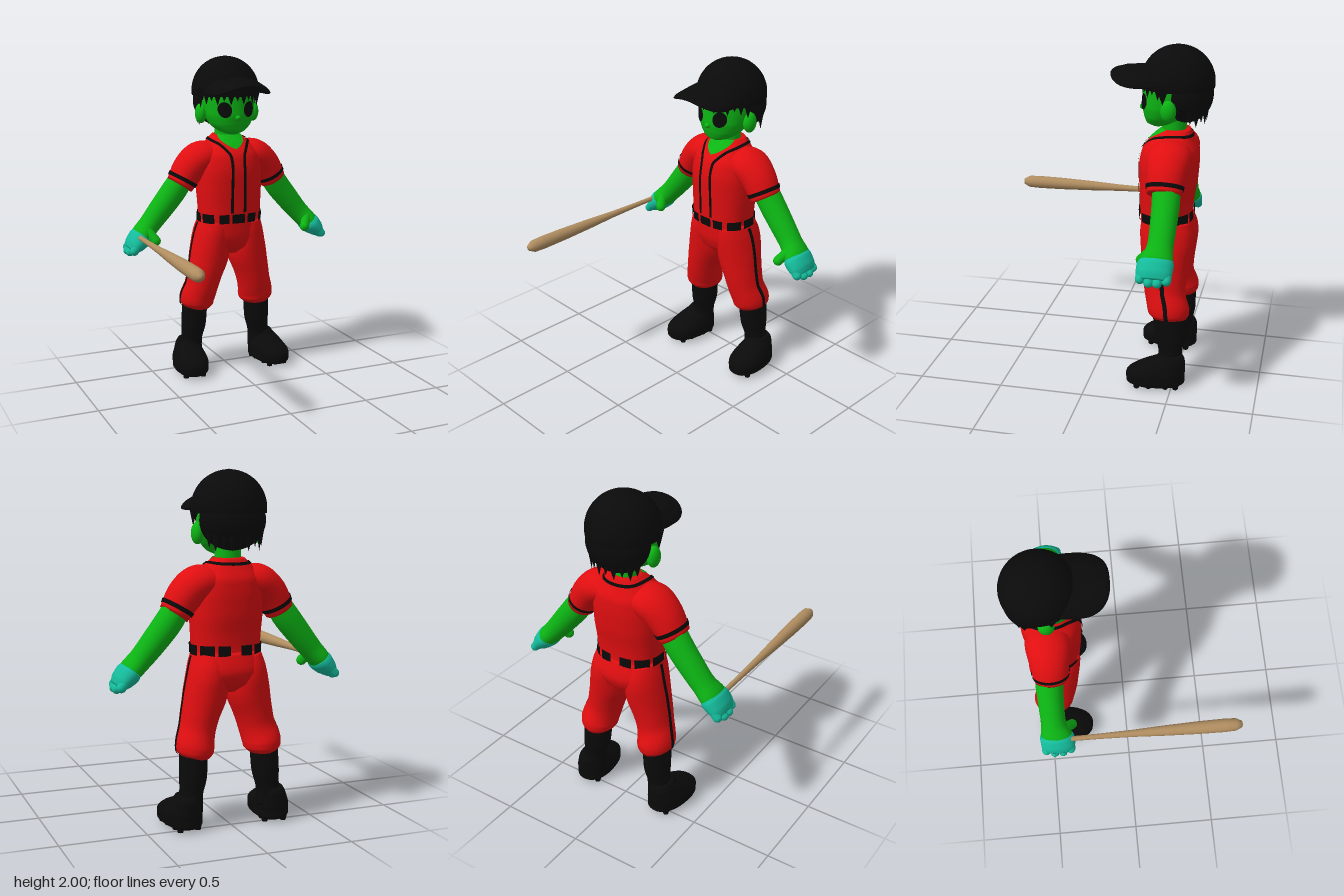
import * as THREE from 'three';

const V3 = (x, y, z) => new THREE.Vector3(x, y, z);
const deg = Math.PI / 180;

// Surface f(u, v): u is the angle round the section, v the section index.
// Section: [x, y, z, half width, half depth]; n is the squareness.
function surface(sections, n = 2) {
  const last = sections.length - 1;
  const path = new THREE.CatmullRomCurve3(sections.map(s => V3(s[0], s[1], s[2])));
  const size = new THREE.CatmullRomCurve3(sections.map(s => V3(s[3], s[4], 0)));
  const pow = c => Math.sign(c) * Math.abs(c) ** (2 / n);
  const f = (u, v) => {
    const t = THREE.MathUtils.clamp(v / last, 0, 1);
    const p = path.getPoint(t), r = size.getPoint(t), d = path.getTangent(t);
    const l = Math.hypot(d.x, d.y) || 1, a = pow(Math.cos(u)) * r.x;
    return V3(p.x + a * d.y / l, p.y - a * d.x / l, p.z + pow(Math.sin(u)) * r.y);
  };
  f.last = last;
  f.path = path;
  return f;
}

function normalAt(f, u, v) {
  const e = 0.02;
  const du = f(u + e, v).sub(f(u - e, v)), dv = f(u, v + e).sub(f(u, v - e));
  return dv.cross(du).normalize();
}

function build(points, index) {
  const g = new THREE.BufferGeometry().setFromPoints(points);
  g.setIndex(index);
  g.computeVertexNormals();
  return g;
}

// Closed skin with end caps
function loft(f, nu = 32, per = 5) {
  const rows = f.last * per, pts = [], idx = [];
  for (let i = 0; i <= rows; i++)
    for (let j = 0; j < nu; j++) pts.push(f(j / nu * Math.PI * 2, i / per));
  const c0 = pts.push(f.path.getPoint(0)) - 1, c1 = pts.push(f.path.getPoint(1)) - 1;
  for (let j = 0; j < nu; j++) {
    const k = (j + 1) % nu, top = rows * nu;
    for (let i = 0; i < rows; i++) {
      const a = i * nu + j, b = i * nu + k;
      idx.push(a, a + nu, b, b, a + nu, b + nu);
    }
    idx.push(c0, j, k, c1, top + k, top + j);
  }
  return build(pts, idx);
}

// Thin band following a (degrees, v) path on a surface
function ribbon(f, uv, width, off = 0.005, steps = 40) {
  const curve = new THREE.SplineCurve(uv.map(p => new THREE.Vector2(p[0] * deg, p[1])));
  const at = t => { const q = curve.getPoint(t); return f(q.x, q.y); };
  const pts = [], idx = [];
  for (let i = 0; i <= steps; i++) {
    const t = i / steps, q = curve.getPoint(t), n = normalAt(f, q.x, q.y);
    const dir = at(Math.min(1, t + 0.01)).sub(at(Math.max(0, t - 0.01)));
    const side = n.clone().cross(dir).normalize().multiplyScalar(width / 2);
    const p = f(q.x, q.y).addScaledVector(n, off);
    pts.push(p.clone().sub(side), p.clone().add(side));
    if (i < steps) idx.push(2 * i, 2 * i + 2, 2 * i + 1, 2 * i + 1, 2 * i + 2, 2 * i + 3);
  }
  return build(pts, idx);
}

// Lay a flat shape on a surface; map gives [u, v] for each x, y
function decal(f, geo, map, off = 0.004) {
  const p = geo.attributes.position;
  for (let i = 0; i < p.count; i++) {
    const [u, v] = map(p.getX(i), p.getY(i));
    const q = f(u, v).addScaledVector(normalAt(f, u, v), off);
    p.setXYZ(i, q.x, q.y, q.z);
  }
  geo.computeVertexNormals();
  return geo;
}

function capsule(a, b, r) {
  const d = b.clone().sub(a), g = new THREE.CapsuleGeometry(r, d.length(), 6, 12);
  g.applyQuaternion(new THREE.Quaternion().setFromUnitVectors(V3(0, 1, 0), d.normalize()));
  const m = a.clone().add(b).multiplyScalar(0.5);
  return g.translate(m.x, m.y, m.z);
}

const ball = (x, y, z, rx, ry, rz) =>
  new THREE.SphereGeometry(1, 32, 20).scale(rx, ry, rz).translate(x, y, z);

function mirrored(geo) {
  const g = geo.clone().scale(-1, 1, 1), ix = g.index.array;
  for (let i = 0; i < ix.length; i += 3) [ix[i], ix[i + 1]] = [ix[i + 1], ix[i]];
  g.computeVertexNormals();
  return g;
}

export function createModel() {
  const root = new THREE.Group();
  const mat = (name, color, side = THREE.FrontSide) => {
    const m = new THREE.MeshStandardMaterial({ color, side });
    m.name = name;
    return m;
  };
  const red = mat('red cloth', 0xe00e10), skin = mat('green skin', 0x0cb414, THREE.DoubleSide);
  const black = mat('black', 0x0a0a0a, THREE.DoubleSide);
  const teal = mat('teal glove', 0x14bc9c), wood = mat('wood', 0xb08d60);
  const add = (name, geo, material) => {
    const m = new THREE.Mesh(geo, material);
    m.name = name;
    root.add(m);
  };
  const pair = (name, geo, material) => {
    add(name + 'Left', geo, material);
    add(name + 'Right', mirrored(geo), material);
  };

  // Jersey
  const torso = surface([
    [0, 0.96, -0.415, 0.2, 0.155], [0, 1.0, -0.405, 0.195, 0.152], [0, 1.1, -0.405, 0.2, 0.157],
    [0, 1.2, -0.41, 0.205, 0.168], [0, 1.3, -0.412, 0.205, 0.173], [0, 1.4, -0.42, 0.19, 0.163],
    [0, 1.47, -0.432, 0.14, 0.118], [0, 1.52, -0.45, 0.085, 0.08]], 2.4);
  add('jersey', loft(torso, 48), red);
  pair('jerseyPiping', ribbon(torso, [[81, 1.5], [81.5, 3], [81.5, 4.6], [75, 5.3], [50, 6],
    [0, 6.4], [-50, 6.35], [-90, 6.3]], 0.018, 0.006, 90), black);
  add('neckOpening', decal(torso, new THREE.PlaneGeometry(2, 1, 12, 8),
    (x, y) => [Math.PI / 2 - x * (y + 0.5) * 1.05, 5.5 + (y + 0.5) * 1.5]), skin);

  // Sleeves
  const sleeve = surface([[0.1, 1.395, -0.435, 0.085, 0.12], [0.18, 1.38, -0.435, 0.1, 0.128],
    [0.25, 1.32, -0.435, 0.1, 0.115], [0.318, 1.215, -0.435, 0.084, 0.098]]);
  pair('sleeve', loft(sleeve, 32, 8), red);
  pair('sleeveStripe', ribbon(sleeve, [[0, 2.68], [120, 2.68], [240, 2.68], [360, 2.68]], 0.024), black);

  // Belt pieces between the loops
  for (const [a, b] of [[81, 90], [57, 76], [15, 46], [-20, 8], [-58, -27], [-84, -64]])
    pair('belt', ribbon(torso, [[a, 1.12], [b, 1.12]], 0.058, 0.009, 10), black);

  // Trousers
  add('hips', loft(surface([[0, 0.77, -0.42, 0.06, 0.08], [0, 0.82, -0.425, 0.17, 0.14],
    [0, 0.9, -0.425, 0.215, 0.165], [0, 1.0, -0.408, 0.197, 0.154]], 2.3), 40), red);
  const leg = surface([[0.1, 0.98, -0.41, 0.1, 0.14], [0.11, 0.91, -0.42, 0.112, 0.155],
    [0.118, 0.85, -0.425, 0.118, 0.155], [0.13, 0.76, -0.425, 0.124, 0.145],
    [0.16, 0.65, -0.425, 0.111, 0.13], [0.182, 0.56, -0.432, 0.105, 0.121],
    [0.203, 0.48, -0.455, 0.11, 0.125], [0.205, 0.44, -0.46, 0.105, 0.12],
    [0.207, 0.412, -0.465, 0.08, 0.1]]);
  pair('trouserLeg', loft(leg), red);
  // u = 180 is the outer side on a downward path
  pair('trouserStripe', ribbon(leg, [[180, 0.3], [180, 2], [180, 4], [180, 6], [180, 7.5]], 0.024), black);

  // Socks and shoes
  pair('sock', loft(surface([[0.215, 0.45, -0.465, 0.078, 0.1], [0.222, 0.3, -0.475, 0.077, 0.09],
    [0.235, 0.2, -0.48, 0.067, 0.07], [0.24, 0.1, -0.48, 0.07, 0.075]])), black);
  const turn = g => g.rotateY(0.12).translate(0.275, 0, -0.4);
  pair('shoe', turn(loft(surface([[0, 0.015, 0, 0.085, 0.155], [0, 0.035, 0, 0.106, 0.175],
    [0, 0.085, 0, 0.107, 0.174], [0, 0.135, -0.035, 0.09, 0.138],
    [0, 0.175, -0.08, 0.07, 0.09], [0, 0.2, -0.085, 0.055, 0.07]], 2.3))), black);
  for (const z of [-0.12, -0.06, 0.04, 0.11])
    for (const x of [-0.055, 0.055])
      pair('cleat', turn(new THREE.CylinderGeometry(0.022, 0.016, 0.03, 10).translate(x, 0.015, z)), black);

  // Arms and hands
  pair('arm', loft(surface([[0.27, 1.3, -0.44, 0.07, 0.08], [0.35, 1.18, -0.45, 0.078, 0.079],
    [0.43, 1.08, -0.452, 0.074, 0.075], [0.51, 0.985, -0.45, 0.066, 0.073],
    [0.57, 0.92, -0.44, 0.062, 0.092], [0.595, 0.89, -0.44, 0.045, 0.075]])), skin);
  pair('thumb', capsule(V3(0.545, 0.95, -0.39), V3(0.51, 0.895, -0.345), 0.03), skin);
  pair('glove', loft(surface([[0.568, 0.922, -0.44, 0.06, 0.094], [0.585, 0.902, -0.437, 0.066, 0.102],
    [0.62, 0.865, -0.435, 0.056, 0.1], [0.645, 0.835, -0.435, 0.036, 0.085]])), teal);
  for (let i = 0; i < 4; i++) {
    const z = -0.508 + i * 0.048, reach = i === 1 || i === 2 ? 0.012 : 0;
    pair('finger', capsule(V3(0.61, 0.875, z), V3(0.643 + reach, 0.838 - reach, z), 0.027), teal);
  }

  // Bat
  const profile = [[0, -0.46], [0.024, -0.455], [0.024, -0.44], [0.014, -0.425], [0.016, -0.2],
    [0.021, 0], [0.031, 0.2], [0.038, 0.4], [0.04, 0.55], [0.037, 0.62], [0.018, 0.655], [0, 0.66]];
  add('bat', new THREE.LatheGeometry(profile.map(p => new THREE.Vector2(...p)), 16)
    .rotateX(Math.PI / 2).translate(-0.605, 0.92, 0), wood);

  // Head
  add('neck', loft(surface([[0, 1.42, -0.435, 0.08, 0.08], [0, 1.5, -0.438, 0.074, 0.07],
    [0, 1.62, -0.43, 0.075, 0.075]])), skin);
  const head = surface([[0, 1.528, -0.34, 0.03, 0.03], [0, 1.55, -0.355, 0.085, 0.08],
    [0, 1.59, -0.378, 0.13, 0.118], [0, 1.65, -0.4, 0.158, 0.152], [0, 1.72, -0.415, 0.168, 0.163],
    [0, 1.8, -0.42, 0.17, 0.165], [0, 1.9, -0.43, 0.13, 0.13]]);
  add('head', loft(head, 40, 6), skin);
  add('nose', ball(0, 1.635, -0.25, 0.018, 0.016, 0.018), skin);
  pair('ear', ball(0.175, 1.655, -0.425, 0.035, 0.062, 0.045), skin);
  pair('eye', decal(head, new THREE.RingGeometry(0, 1, 28, 5),
    (x, y) => [61 * deg - x * 0.27, 3.48 + y * 0.68]), black);

  // Hair with pointed locks
  add('hair', ball(0, 1.725, -0.505, 0.188, 0.165, 0.15), black);
  const lock = (angle, y, rx, rz, cz, length, r) => {
    const x = Math.sin(angle) * rx, z = cz + Math.cos(angle) * rz;
    const g = new THREE.ConeGeometry(r, length, 10).rotateX(Math.PI).scale(1, 1, 0.5);
    add('hairLock', g.rotateY(angle).translate(x, y - length / 2, z), black);
  };
  for (let i = -6; i <= 6; i++)
    lock(i * 14 * deg, 1.81, 0.172, 0.165, -0.418, i % 2 ? 0.1 : 0.075, 0.034);
  for (let i = -4; i <= 4; i++)
    lock(Math.PI + i * 17 * deg, 1.73, 0.165, 0.12, -0.5, 0.15 + (i % 2 ? 0.02 : 0), 0.05);
  for (const s of [-1, 1]) lock(s * 92 * deg, 1.8, 0.188, 0.1, -0.39, 0.11, 0.04);

  // Cap with a drooping brim
  add('cap', new THREE.SphereGeometry(1, 40, 24, 0, Math.PI * 2, 0, Math.PI * 0.54)
    .scale(0.21, 0.21, 0.212).translate(0, 1.79, -0.45), black);
  add('capButton', ball(0, 1.996, -0.45, 0.018, 0.006, 0.018), black);
  const brim = loft(surface([[0, -0.03, 0, 0.14, 0.14], [0, -0.018, 0, 0.178, 0.185],
    [0, 0, 0, 0.19, 0.198], [0, 0.02, 0, 0.175, 0.18], [0, 0.032, 0, 0.12, 0.12]], 2.6), 48);
  const p = brim.attributes.position;
  for (let i = 0; i < p.count; i++) {
    const x = p.getX(i), z = p.getZ(i);
    p.setY(i, 1.855 + p.getY(i) * (1 - z * 1.8) - 1.9 * x * x - Math.max(0, z) * 0.08);
  }
  brim.computeVertexNormals();
  add('capBrim', brim.translate(0, 0, -0.265), black);
  return root;
}
